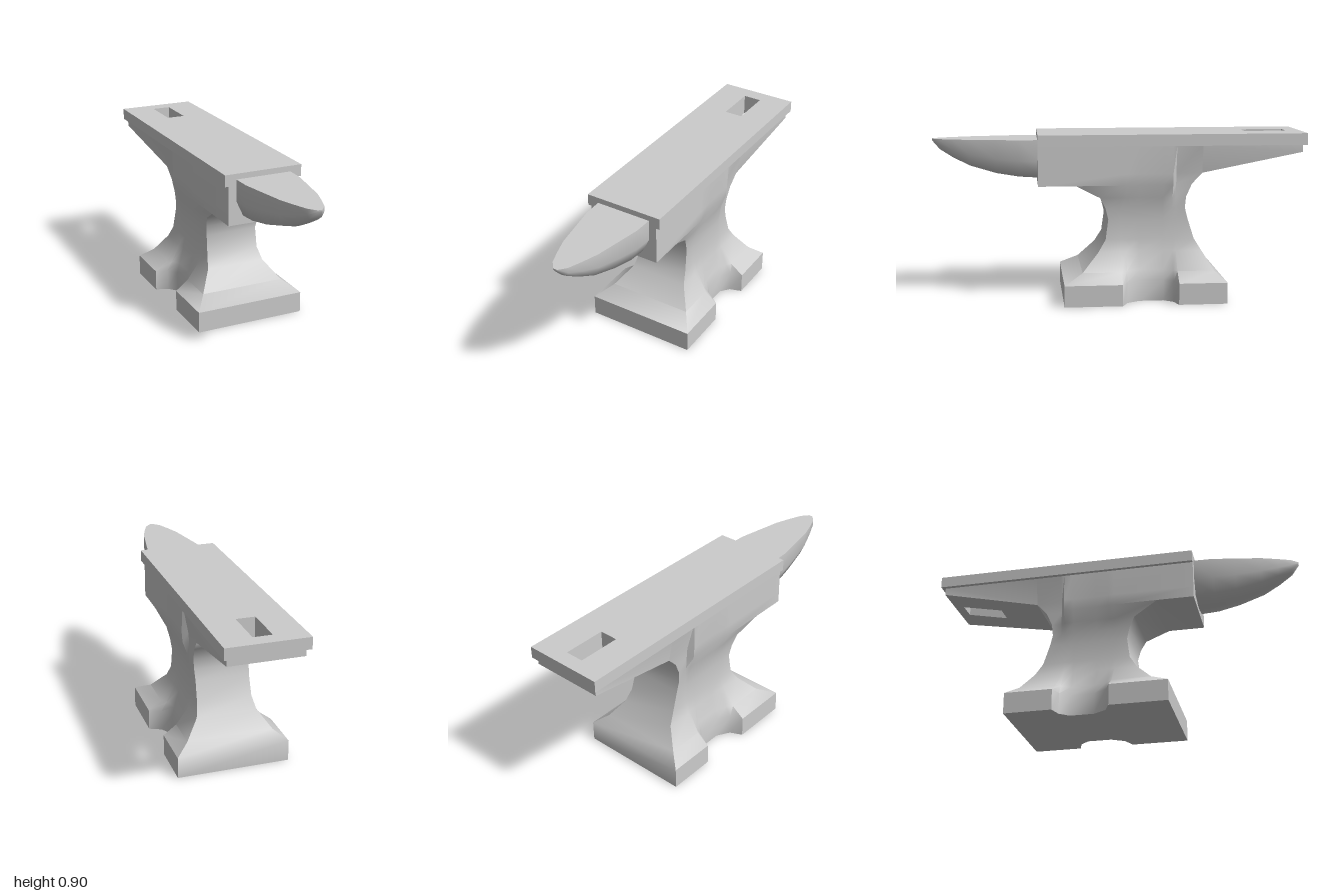
import * as THREE from 'three';
import { toCreasedNormals } from 'three/addons/utils/BufferGeometryUtils.js';

const material = new THREE.MeshStandardMaterial({ color: 0xcccccc });

function part(name, geometry, crease) {
  const mesh = new THREE.Mesh(toCreasedNormals(geometry, crease), material);
  mesh.name = name;
  return mesh;
}

// Mirrors a right-hand half outline into a closed ring
const mirrorRing = (half) => [...half, ...half.map(([x, y, z]) => [-x, y, z]).reverse()];

// Skins a stack of mirrored rings and caps both ends
function loft(halves) {
  const rings = halves.map(mirrorRing);
  const n = rings[0].length;
  const last = (rings.length - 1) * n;
  const index = [];
  const quad = (a, b, c, d) => index.push(a, b, c, a, c, d);
  for (let r = 0; r < last; r += n) {
    for (let i = 0; i < n; i++) {
      const j = (i + 1) % n;
      quad(r + i, r + j, r + n + j, r + n + i);
    }
  }
  for (let i = 0; i < n / 2 - 1; i++) {
    const a = i, b = i + 1, c = n - 2 - i, d = n - 1 - i;
    quad(d, c, b, a);
    quad(last + a, last + b, last + c, last + d);
  }
  const geometry = new THREE.BufferGeometry();
  geometry.setAttribute('position', new THREE.Float32BufferAttribute(rings.flat(2), 3));
  geometry.setIndex(index);
  return geometry;
}

// Flat slab with the square tool hole through it
function slab(halfWidth, zBack, zFront, yLow, yHigh) {
  const rect = (target, w, z0, z1) => {
    target.moveTo(-w, -z1).lineTo(w, -z1).lineTo(w, -z0).lineTo(-w, -z0).closePath();
    return target;
  };
  const shape = rect(new THREE.Shape(), halfWidth, zBack, zFront);
  shape.holes.push(rect(new THREE.Path(), 0.05, -0.92, -0.69));
  const geometry = new THREE.ExtrudeGeometry(shape, { depth: yHigh - yLow, bevelEnabled: false });
  return geometry.rotateX(-Math.PI / 2).translate(0, yLow, 0);
}

// Feet, waist and upper block: y, front z, back z, front, shoulder, notch and back half-widths
function bodyGeometry() {
  const levels = [
    [0, 0.31, -0.56, 0.305, 0.24, 0.2, 0.305],
    [0.115, 0.31, -0.56, 0.305, 0.24, 0.2, 0.305],
    [0.168, 0.21, -0.5, 0.235, 0.21, 0.185, 0.235],
    [0.265, 0.12, -0.44, 0.165, 0.162, 0.16, 0.165],
    [0.33, 0.08, -0.4, 0.15, 0.15, 0.15, 0.15],
    [0.44, 0.065, -0.365, 0.147, 0.147, 0.147, 0.147],
    [0.5, 0.08, -0.35, 0.154, 0.154, 0.154, 0.15],
    [0.56, 0.11, -0.355, 0.165, 0.165, 0.165, 0.155],
    [0.63, 0.24, -0.385, 0.195, 0.19, 0.185, 0.16],
    [0.63, 0.44, -0.385, 0.195, 0.19, 0.185, 0.16],
    [0.69, 0.44, -0.44, 0.195, 0.195, 0.19, 0.165],
    [0.845, 0.44, -0.44, 0.195, 0.195, 0.195, 0.195],
  ];
  return loft(levels.map(([y, zf, zb, wf, m, n, wb]) => [
    [wf, y, zf], [wf, y, 0], [m, y, -0.03], [n, y, -0.1],
    [n, y, -0.23], [m, y, -0.28], [wb, y, -0.3], [wb, y, zb],
  ]));
}

// Flat-topped horn: z, half-width, underside y
function hornGeometry() {
  const top = 0.872;
  const sections = [
    [0.42, 0.153, 0.655], [0.54, 0.15, 0.663], [0.66, 0.128, 0.683],
    [0.8, 0.102, 0.725], [0.89, 0.072, 0.77], [0.96, 0.045, 0.815], [1, 0.012, 0.862],
  ];
  return loft(sections.map(([z, w, b]) => {
    const h = top - b;
    return [[0.15 * w, b, z], [0.75 * w, b + 0.09 * h, z], [w, b + 0.47 * h, z], [w, top, z]];
  }));
}

// Heel: the underside rises and widens towards the back
function heelGeometry() {
  const geometry = slab(0.195, -0.98, -0.44, 0.69, 0.845);
  const p = geometry.attributes.position;
  for (let i = 0; i < p.count; i++) {
    if (p.getY(i) > 0.75) continue;
    const t = (-0.44 - p.getZ(i)) / 0.54;
    p.setY(i, 0.69 + 0.11 * t);
    if (Math.abs(p.getX(i)) > 0.1) p.setX(i, Math.sign(p.getX(i)) * (0.165 + 0.03 * t));
  }
  return geometry;
}

export function createModel() {
  const model = new THREE.Group();
  model.name = 'anvil';
  model.add(
    part('body', bodyGeometry(), 0.9),
    part('heel', heelGeometry(), 0.5),
    part('facePlate', slab(0.215, -1, 0.44, 0.84, 0.902), 0.5),
    part('horn', hornGeometry(), 1.0),
  );
  return model;
}
